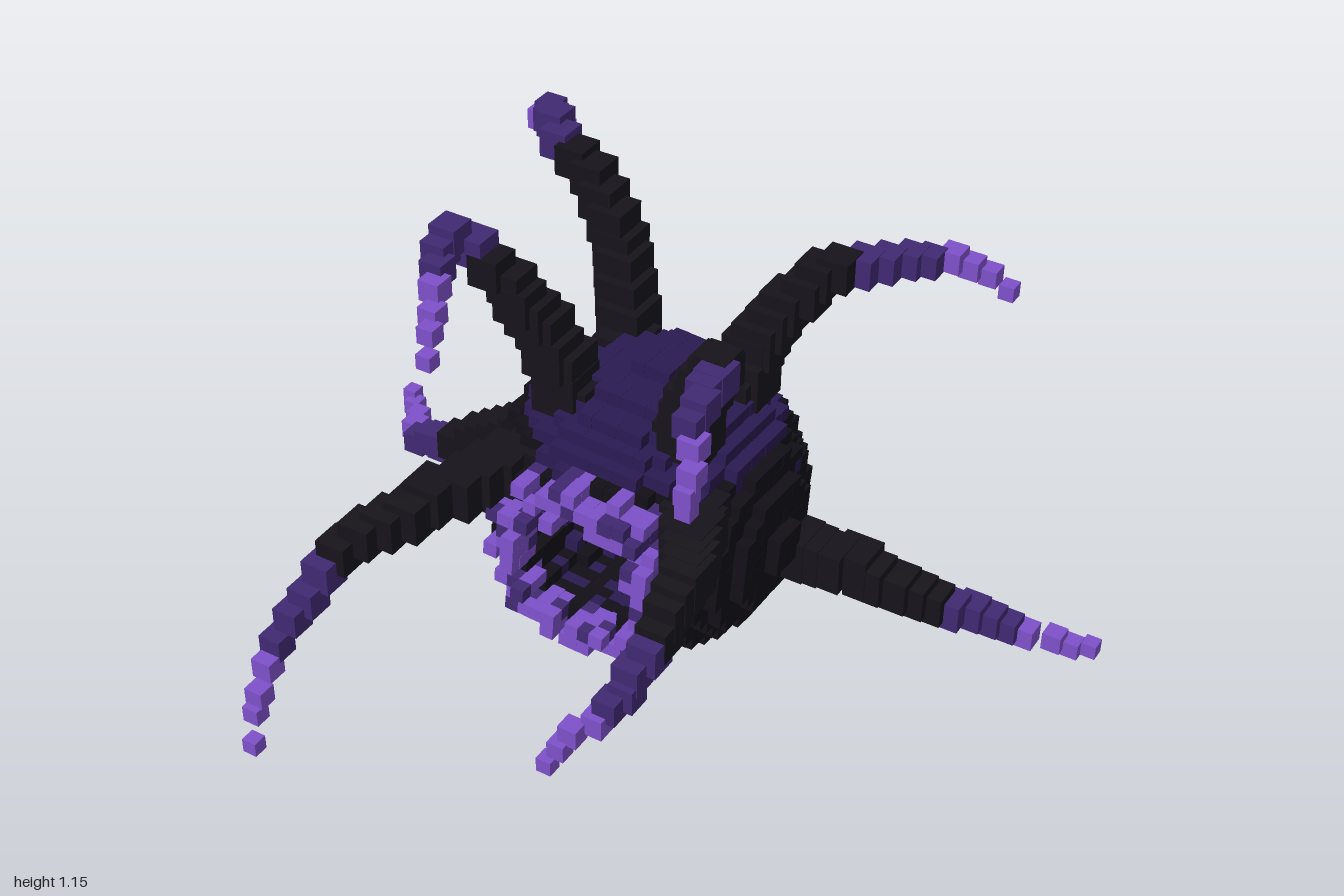
import * as THREE from 'three';
import { mergeGeometries } from 'three/addons/utils/BufferGeometryUtils.js';

const COLORS = { black: 0x17141b, skin: 0x120f17, violet: 0x2b1b52, mid: 0x412a73, bright: 0x7f52cc, tooth: 0x9a92ac };
const CELL = 0.0335;      // body voxel pitch
const R = 11.1;           // body radius in voxels

// repeatable noise per voxel, 0..1
function hash(i, j, k) {
  const s = Math.sin(i * 12.99 + j * 78.23 + k * 37.72) * 43758.55;
  return s - Math.floor(s);
}

function cube(size, x, y, z) {
  return new THREE.BoxGeometry(size, size, size).translate(x, y, z);
}

// one merged mesh per colour
function addMeshes(group, buckets, label) {
  for (const [key, list] of Object.entries(buckets)) {
    const mesh = new THREE.Mesh(
      mergeGeometries(list),
      new THREE.MeshStandardMaterial({ color: COLORS[key] })
    );
    mesh.name = `${label}_${key}`;
    group.add(mesh);
  }
}

const put = (buckets, key, geo) => (buckets[key] ??= []).push(geo);

// distance from the axis of the mouth, in voxels
const mouthDist = (i, j) => Math.hypot(i - 0.5, j + 0.2);

// ragged lip that hugs the body around the mouth
function isLip(i, j, k) {
  const d = mouthDist(i, j);
  const r = Math.hypot(i, j, k);
  return k > 6 && d > 4.4 && d < 6.9 && r > R - 1 && r < R + 1.7 && hash(i, j, 3) > 0.38;
}

function isSolid(i, j, k) {
  if (isLip(i, j, k)) return true;
  if (Math.hypot(i, j, k) > R) return false;
  const throat = k > 6 ? 4.7 : 4.7 - (6 - k) * 0.25;   // narrows with depth
  return !(k > -3 && mouthDist(i, j) < throat);
}

function bodyColor(i, j, k) {
  if (isLip(i, j, k)) return hash(i, j, k) > 0.2 ? 'bright' : 'mid';
  // throat lining
  if (k > -5 && mouthDist(i, j) < 6 && Math.hypot(i, j, k) < R - 1) {
    return hash(i, j, k) > 0.45 ? 'violet' : 'skin';
  }
  if (j + hash(i, j, k) * 1.2 > 6.8) return 'violet';
  // scattered patches on the dark flanks
  const patch = Math.sin(i * 0.55 + 1) + Math.sin(j * 0.7 + k * 0.25) + Math.sin(k * 0.6 - 2);
  return patch + hash(i, j, k) * 0.6 > 2.1 ? 'violet' : 'skin';
}

function makeBody() {
  const body = new THREE.Group();
  body.name = 'body';
  const buckets = {};
  const N = 13;
  for (let i = -N; i <= N; i++) for (let j = -N; j <= N; j++) for (let k = -N; k <= N; k++) {
    if (!isSolid(i, j, k)) continue;
    const buried = isSolid(i + 1, j, k) && isSolid(i - 1, j, k) && isSolid(i, j + 1, k) &&
      isSolid(i, j - 1, k) && isSolid(i, j, k + 1) && isSolid(i, j, k - 1);
    if (buried) continue;
    // slightly uneven cubes, so that each one stays readable
    const size = CELL * (1 + 0.1 * hash(k, i, j));
    put(buckets, bodyColor(i, j, k), cube(size, i * CELL, j * CELL, k * CELL));
  }
  // small teeth under the upper lip
  for (let i = -1; i <= 2; i++) {
    put(buckets, 'tooth', cube(0.016, i * CELL, (3.9 - hash(i, 1, 2) * 0.8) * CELL, 7 * CELL));
  }
  addMeshes(body, buckets, 'body');
  body.position.set(-0.045, 0.39, -0.165);
  body.rotation.set(-0.05, 0, -0.05);
  return body;
}

// tentacle centre lines, root to tip
const TENTACLES = {
  upperBackRight: [[-0.19, 0.68, -0.29], [-0.24, 0.87, -0.36], [-0.33, 1.02, -0.41], [-0.46, 1.08, -0.45], [-0.59, 1.08, -0.57], [-0.64, 1.0, -0.65], [-0.65, 0.9, -0.77]],
  upperBackLeft: [[0.12, 0.68, -0.29], [0.18, 0.85, -0.34], [0.27, 0.98, -0.4], [0.38, 1.0, -0.5], [0.5, 1.0, -0.6], [0.61, 0.93, -0.66]],
  upperFrontRight: [[-0.18, 0.68, -0.06], [-0.23, 0.86, -0.02], [-0.32, 1.02, 0.03], [-0.41, 1.11, 0.07], [-0.41, 1.1, 0.14], [-0.37, 1.03, 0.24], [-0.32, 0.96, 0.31]],
  upperFrontLeft: [[0.12, 0.68, -0.06], [0.17, 0.84, -0.02], [0.24, 0.97, 0.03], [0.28, 1.0, 0.11], [0.3, 0.98, 0.22], [0.34, 0.9, 0.3], [0.35, 0.82, 0.32]],
  lowerFrontRight: [[-0.25, 0.53, 0.04], [-0.32, 0.54, 0.2], [-0.4, 0.52, 0.36], [-0.5, 0.43, 0.47], [-0.57, 0.29, 0.58], [-0.58, 0.15, 0.69], [-0.56, 0.04, 0.76]],
  lowerFrontLeft: [[0.19, 0.53, 0.03], [0.26, 0.56, 0.16], [0.3, 0.54, 0.28], [0.3, 0.46, 0.4], [0.25, 0.35, 0.5], [0.19, 0.27, 0.57], [0.16, 0.22, 0.6]],
  lowerBackRight: [[-0.33, 0.34, -0.28], [-0.45, 0.32, -0.28], [-0.6, 0.26, -0.28], [-0.74, 0.18, -0.29], [-0.88, 0.12, -0.34], [-0.94, 0.12, -0.41], [-0.98, 0.15, -0.47]],
  lowerBackLeft: [[0.24, 0.3, -0.25], [0.42, 0.3, -0.27], [0.57, 0.26, -0.3], [0.7, 0.2, -0.38], [0.85, 0.12, -0.47], [0.98, 0.07, -0.54]],
};

// chain of shrinking cubes on a coarse grid, dark at the root and bright at the tip
function makeTentacle(name, points) {
  const group = new THREE.Group();
  group.name = name + 'Tentacle';
  const curve = new THREE.CatmullRomCurve3(points.map(p => new THREE.Vector3(...p)));
  const snap = v => Math.round(v / 0.02) * 0.02;
  const buckets = {};
  const count = 17;
  for (let n = 0; n < count; n++) {
    const t = n / (count - 1);
    const p = curve.getPointAt(t);
    const key = t < 0.53 ? 'black' : t < 0.8 ? 'mid' : 'bright';
    put(buckets, key, cube(THREE.MathUtils.lerp(0.12, 0.038, t), snap(p.x), snap(p.y), snap(p.z)));
  }
  addMeshes(group, buckets, name + 'Tentacle');
  return group;
}

export function createModel() {
  const model = new THREE.Group();
  model.name = 'tentacledCreature';
  model.add(makeBody());
  for (const [name, points] of Object.entries(TENTACLES)) model.add(makeTentacle(name, points));
  return model;
}
